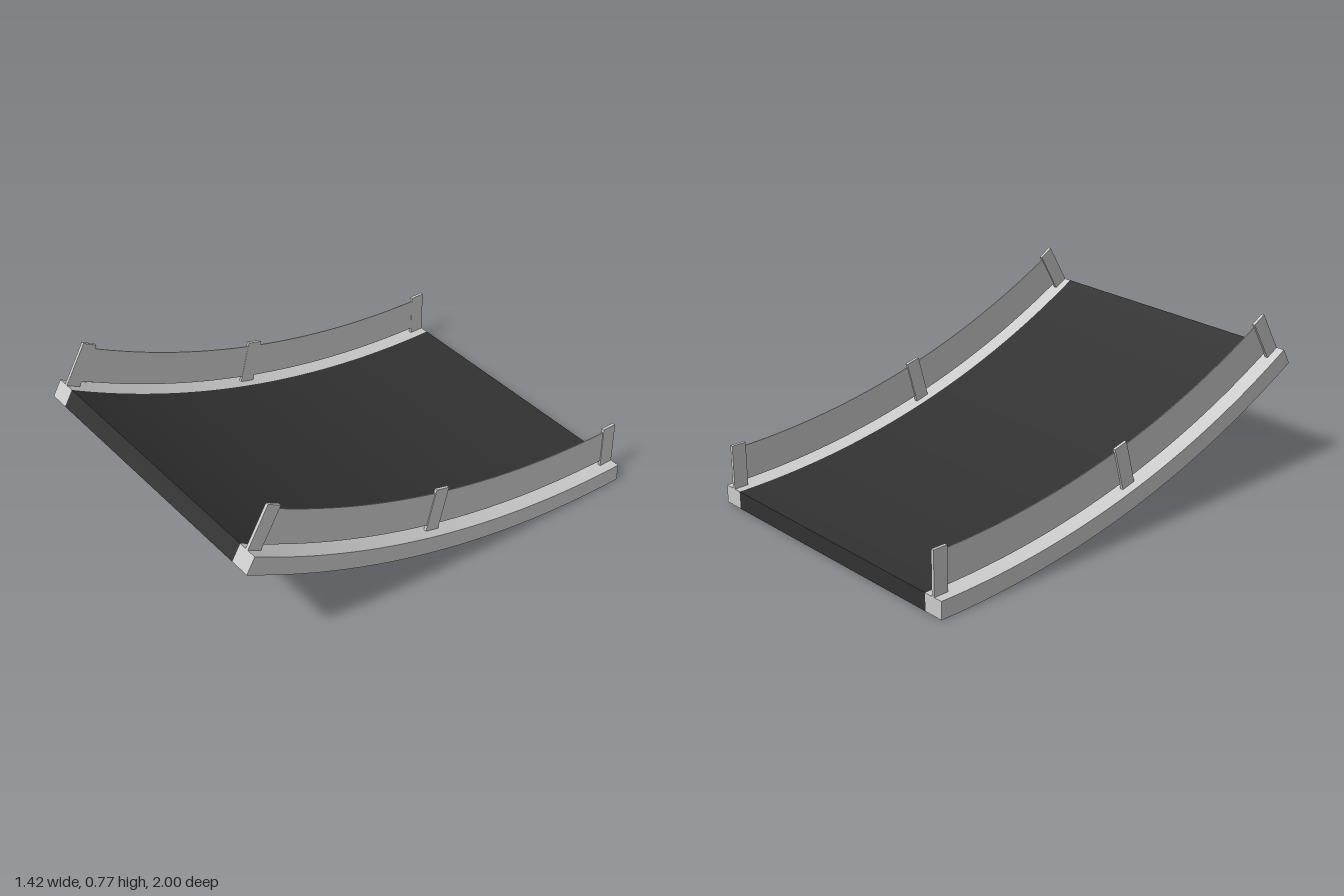
import * as THREE from 'three';
import { toCreasedNormals } from 'three/addons/utils/BufferGeometryUtils.js';

const SWEEP = THREE.MathUtils.degToRad(29.7); // arc of the ramp
const R = 2 / Math.sin(SWEEP);                // radius of the underside
const THICK = 0.08;                           // slab thickness
const START = -Math.PI / 2;
const POST = { width: 0.068, height: 0.2, depth: 0.014 };

// Curved strip between two radii, of given width, centred on x
function arcStrip(name, outer, inner, width, x, material) {
  const shape = new THREE.Shape();
  shape.absarc(-1, R, outer, START, START + SWEEP, false);
  shape.absarc(-1, R, inner, START + SWEEP, START, true);
  const extruded = new THREE.ExtrudeGeometry(shape, { depth: width, bevelEnabled: false, curveSegments: 40 });
  extruded.translate(0, 0, -width / 2).rotateY(-Math.PI / 2);
  const mesh = new THREE.Mesh(toCreasedNormals(extruded, 0.4), material);
  mesh.name = name;
  mesh.position.x = x;
  return mesh;
}

// Post standing square on the slab; shift moves it along the local slope
function post(name, angle, shift, x, material) {
  const geometry = new THREE.BoxGeometry(POST.depth, POST.height, POST.width);
  geometry.translate(0, -(R - THICK) + POST.height / 2, shift);
  const mesh = new THREE.Mesh(geometry, material);
  mesh.name = name;
  mesh.rotation.x = -angle;
  mesh.position.set(x, R, -1);
  return mesh;
}

export function createModel() {
  const grey = new THREE.MeshStandardMaterial({ color: 0xcccccc });
  const dark = new THREE.MeshStandardMaterial({ color: 0x323232 });
  const model = new THREE.Group();
  model.name = 'curvedRamp';
  const top = R - THICK;

  // Dark road surface
  model.add(arcStrip('deck', R, top, 1.234, 0, dark));

  for (const [side, sign, postX] of [['left', 1, 0.659], ['right', -1, -0.664]]) {
    const group = new THREE.Group();
    group.name = side + 'Side';
    // Kerb and thin guard panel
    group.add(arcStrip('kerb', R, top, 0.095, sign * 0.6645, grey));
    group.add(arcStrip('guardPanel', top - 0.026, top - 0.182, 0.004, sign * 0.66, grey));
    // Three posts, the end ones flush with the slab ends
    group.add(post('backPost', 0, POST.width / 2, postX, grey));
    group.add(post('middlePost', SWEEP / 2, POST.width / 2, postX, grey));
    group.add(post('frontPost', SWEEP, -POST.width / 2, postX, grey));
    model.add(group);
  }
  return model;
}
